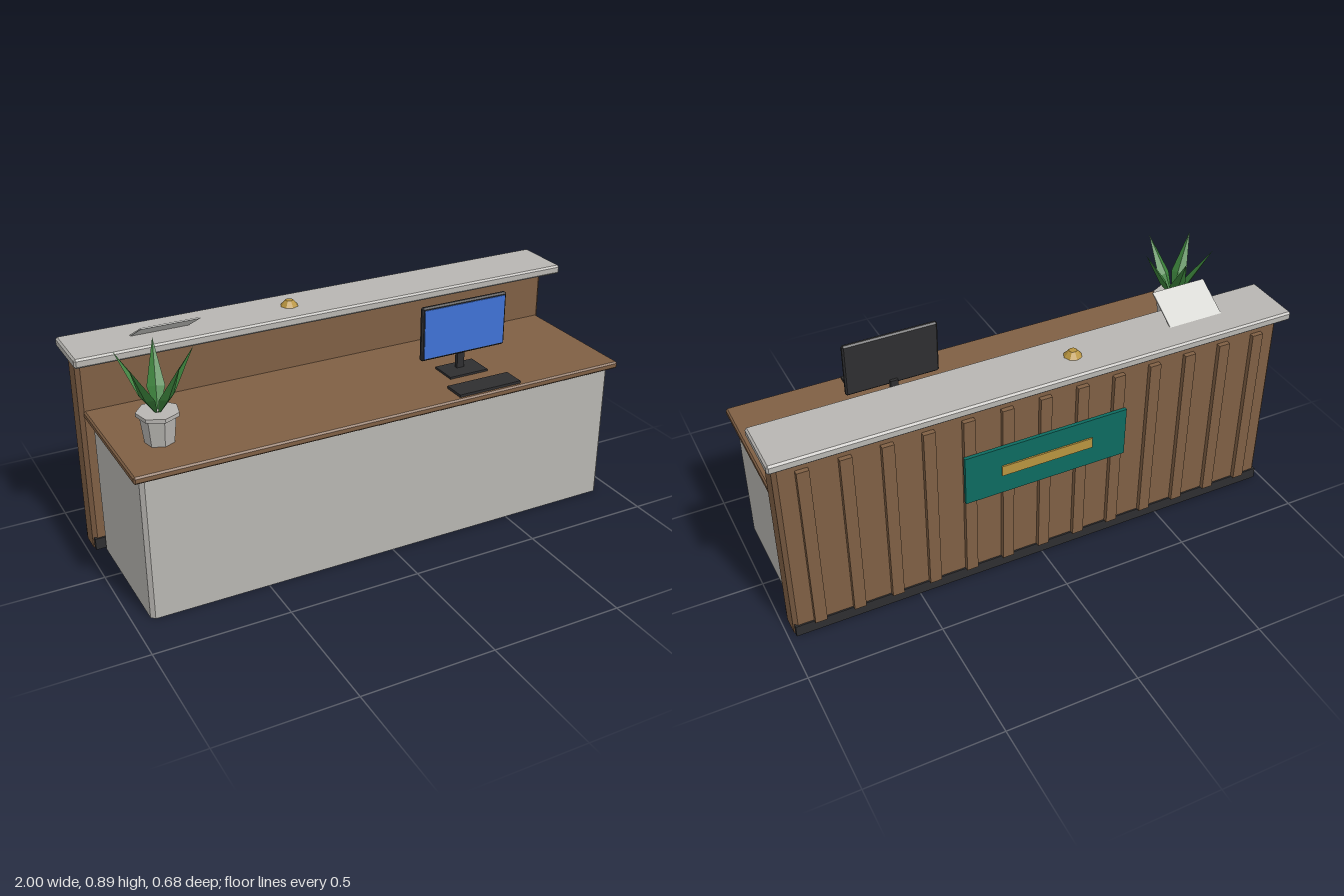
import * as THREE from 'three';
import { ConvexGeometry } from 'three/addons/geometries/ConvexGeometry.js';

const paint = (name, color) => Object.assign(new THREE.MeshStandardMaterial({ color }), { name });

// Box spanning the given min/max corners
function box(x0, x1, y0, y1, z0, z1) {
  return new THREE.BoxGeometry(x1 - x0, y1 - y0, z1 - z0)
    .translate((x0 + x1) / 2, (y0 + y1) / 2, (z0 + z1) / 2);
}

// Box with chamfered edges; c = chamfer in plan, cy = chamfer at top and bottom
function chamferBox(x0, x1, y0, y1, z0, z1, c, cy = c) {
  const w = (x1 - x0) / 2, h = (y1 - y0) / 2, d = (z1 - z0) / 2;
  const pts = [];
  for (const sx of [-1, 1]) for (const sy of [-1, 1]) for (const sz of [-1, 1]) {
    pts.push(new THREE.Vector3(sx * w, sy * (h - cy), sz * (d - c)));
    pts.push(new THREE.Vector3(sx * (w - c), sy * (h - cy), sz * d));
    if (cy > 0) pts.push(new THREE.Vector3(sx * (w - c), sy * h, sz * (d - c)));
  }
  return new ConvexGeometry(pts).translate((x0 + x1) / 2, (y0 + y1) / 2, (z0 + z1) / 2);
}

function faceted(geometry) {
  const g = geometry.toNonIndexed();
  g.computeVertexNormals();
  return g;
}

export function createModel() {
  const wood = paint('wood', 0x7f5f44);
  const stone = paint('stone', 0xb8b6b2);
  const black = paint('black', 0x2e2e30);
  const blue = paint('screen blue', 0x3f72d6);
  const teal = paint('teal', 0x0d6b60);
  const gold = paint('brass', 0xb8943f);
  const green = paint('leaf green', 0x3a803a);
  const paper = paint('paper', 0xd2d2ce);

  const model = new THREE.Group();
  model.name = 'receptionDesk';
  const add = (name, geometry, material, parent = model) => {
    const mesh = new THREE.Mesh(geometry, material);
    mesh.name = name;
    parent.add(mesh);
    return mesh;
  };

  // Desk body and work surface
  add('deskBody', chamferBox(-0.937, 0.937, 0, 0.54, -0.19, 0.32, 0.014, 0), stone);
  add('workSurface', chamferBox(-0.963, 0.963, 0.54, 0.567, -0.2, 0.34, 0.006), wood);

  // Tall visitor-side panel, plinth and counter slab
  add('backPanel', chamferBox(-0.976, 0.976, 0.001, 0.77, -0.297, -0.195, 0.015, 0), wood);
  add('plinth', box(-0.972, 0.972, 0, 0.045, -0.303, -0.188), black);
  add('counterSlab', chamferBox(-1, 1, 0.77, 0.805, -0.339, -0.109, 0.007), stone);

  // Vertical battens across the outside of the panel
  for (let i = 0; i < 13; i++) {
    const x = -0.88 + i * (1.76 / 12);
    add('batten', box(x - 0.022, x + 0.022, 0.045, 0.725, -0.315, -0.295), wood);
  }

  // Sign plate with a plain brass bar
  add('signPlate', box(-0.32, 0.32, 0.38, 0.58, -0.328, -0.314), teal);
  add('signBar', box(-0.18, 0.18, 0.46, 0.502, -0.334, -0.327), gold);

  // Monitor and keyboard
  const monitor = new THREE.Group();
  monitor.name = 'monitor';
  model.add(monitor);
  add('monitorCase', chamferBox(0.215, 0.577, 0.64, 0.85, 0.114, 0.134, 0.006), black, monitor);
  add('screen', box(0.225, 0.567, 0.65, 0.84, 0.133, 0.137), blue, monitor);
  add('monitorPost', box(0.381, 0.411, 0.57, 0.66, 0.102, 0.118), black, monitor);
  add('monitorFoot', box(0.315, 0.477, 0.567, 0.575, 0.07, 0.178), black, monitor);
  add('keyboard', box(0.265, 0.525, 0.567, 0.577, 0.238, 0.325), black);

  // Service bell
  add('bell', faceted(new THREE.CylinderGeometry(0.015, 0.034, 0.022, 8)), gold)
    .position.set(-0.147, 0.816, -0.225);

  // Leaning document sheet on the counter
  const sheet = add('documentSheet', new THREE.BoxGeometry(0.218, 0.005, 0.153), paper);
  sheet.position.set(-0.655, 0.84, -0.164);
  sheet.rotation.x = -Math.PI / 6;

  // Potted plant
  const plant = new THREE.Group();
  plant.name = 'pottedPlant';
  plant.position.set(-0.8, 0.567, 0.135);
  model.add(plant);
  add('pot', faceted(new THREE.CylinderGeometry(0.064, 0.052, 0.104, 7)), stone, plant)
    .position.y = 0.052;
  add('potRim', faceted(new THREE.CylinderGeometry(0.075, 0.075, 0.014, 7)), stone, plant)
    .position.y = 0.106;

  // Five four-sided spindle leaves, leaning outward
  const profile = [[0.0001, 0], [0.031, 0.1], [0.0001, 0.264]].map(p => new THREE.Vector2(...p));
  const leaf = faceted(new THREE.LatheGeometry(profile, 4).scale(0.4, 1, 1));
  leaf.rotateZ(-0.55).translate(0, 0.093, 0);
  for (let i = 0; i < 5; i++) {
    add('leaf', leaf, green, plant).rotation.y = i * Math.PI * 2 / 5;
  }

  return model;
}
